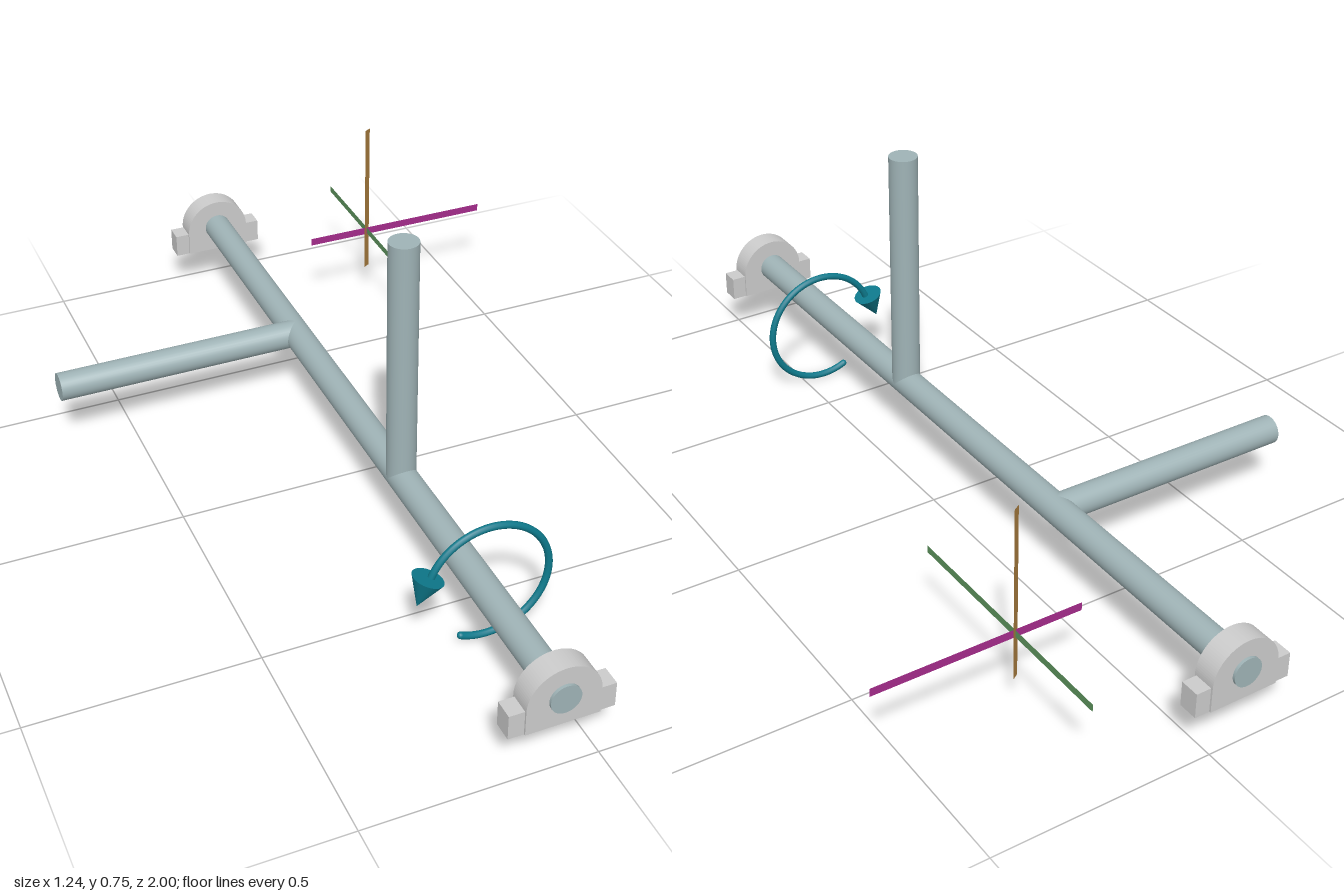
import * as THREE from 'three';

const mat = (color, side = THREE.FrontSide) => new THREE.MeshStandardMaterial({ color, side });
const steel = mat(0x9fb3b6);
const grey = mat(0xcccccc);
const teal = mat(0x0e7a8c);

const SHAFT_X = -0.08, SHAFT_Y = 0.172, ROD_R = 0.033;

export function createModel() {
  const model = new THREE.Group();
  const add = (name, geometry, material, parent = model) => {
    const mesh = new THREE.Mesh(geometry, material);
    mesh.name = name;
    parent.add(mesh);
    return mesh;
  };

  // A capped round bar or cone between two points
  const bar = (name, a, b, rStart, rEnd, material) => {
    const from = new THREE.Vector3(...a), to = new THREE.Vector3(...b);
    const dir = to.clone().sub(from);
    const mesh = add(name, new THREE.CylinderGeometry(rEnd, rStart, dir.length(), 32), material);
    mesh.position.copy(from).add(to).multiplyScalar(0.5);
    mesh.quaternion.setFromUnitVectors(new THREE.Vector3(0, 1, 0), dir.normalize());
    return mesh;
  };

  // Shaft with its two arms
  bar('shaft', [SHAFT_X, SHAFT_Y, -1], [SHAFT_X, SHAFT_Y, 1], ROD_R, ROD_R, steel);
  bar('uprightArm', [SHAFT_X, SHAFT_Y, 0.252], [SHAFT_X, 0.755, 0.252], ROD_R, ROD_R, steel);
  bar('sideArm', [SHAFT_X, SHAFT_Y, -0.37], [-0.67, SHAFT_Y, -0.37], ROD_R, ROD_R, steel);

  // Bearing blocks: rounded housing on a slightly thinner foot
  const dome = new THREE.Shape();
  dome.moveTo(-0.08, 0.106);
  dome.lineTo(0.08, 0.106);
  dome.lineTo(0.08, 0.164);
  dome.absarc(0, 0.164, 0.08, 0, Math.PI, false);
  dome.closePath();
  const bore = new THREE.Path();
  bore.absarc(0, SHAFT_Y, ROD_R, 0, Math.PI * 2, true);
  dome.holes.push(bore);
  const footShape = new THREE.Shape();
  footShape.moveTo(-0.114, 0.105);
  footShape.lineTo(0.114, 0.105);
  footShape.lineTo(0.114, 0.162);
  footShape.lineTo(0.075, 0.162);
  footShape.lineTo(-0.075, 0.162);
  footShape.lineTo(-0.114, 0.162);
  footShape.closePath();
  const slab = (shape, depth) =>
    new THREE.ExtrudeGeometry(shape, { depth, bevelEnabled: false, curveSegments: 24 })
      .translate(0, 0, -depth / 2);

  for (const [name, z] of [['frontBearing', 0.967], ['backBearing', -0.967]]) {
    const bearing = new THREE.Group();
    bearing.name = name;
    bearing.position.set(SHAFT_X, 0, z);
    add('housing', slab(dome, 0.053), grey, bearing);
    add('foot', slab(footShape, 0.044), grey, bearing);
    model.add(bearing);
  }

  // Curved rotation arrow around the shaft
  const start = THREE.MathUtils.degToRad(-115), sweep = THREE.MathUtils.degToRad(273);
  const ring = add('rotationArc', new THREE.TorusGeometry(0.138, 0.008, 12, 72, sweep), teal);
  ring.position.set(-0.052, 0.152, 0.62);
  ring.rotation.z = start;
  const arcCap = add('rotationArcEnd', new THREE.SphereGeometry(0.008, 12, 8), teal);
  arcCap.position.set(-0.052 + 0.138 * Math.cos(start), 0.152 + 0.138 * Math.sin(start), 0.62);
  bar('rotationArrowhead', [-0.187, 0.204, 0.62], [-0.211, 0.14, 0.62], 0.035, 0, teal);

  // Coordinate axes: thin flat strips crossing at one point
  const axes = new THREE.Group();
  axes.name = 'axes';
  axes.position.set(0.252, 0.207, -0.705);
  model.add(axes);
  const strip = (name, w, h, color) =>
    add(name, new THREE.PlaneGeometry(w, h), mat(color, THREE.DoubleSide), axes);

  const xAxis = strip('xAxis', 0.477, 0.019, 0xa52c8c);
  xAxis.position.x = 0.082;

  const yAxis = strip('yAxis', 0.018, 0.4, 0xa87c3e);
  yAxis.position.y = 0.093;
  yAxis.rotation.set(0.012, 0.55, -0.008);

  const zAxis = strip('zAxis', 0.572, 0.017, 0x5f965f);
  zAxis.position.z = 0.034;
  zAxis.rotation.y = Math.PI / 2;

  return model;
}
